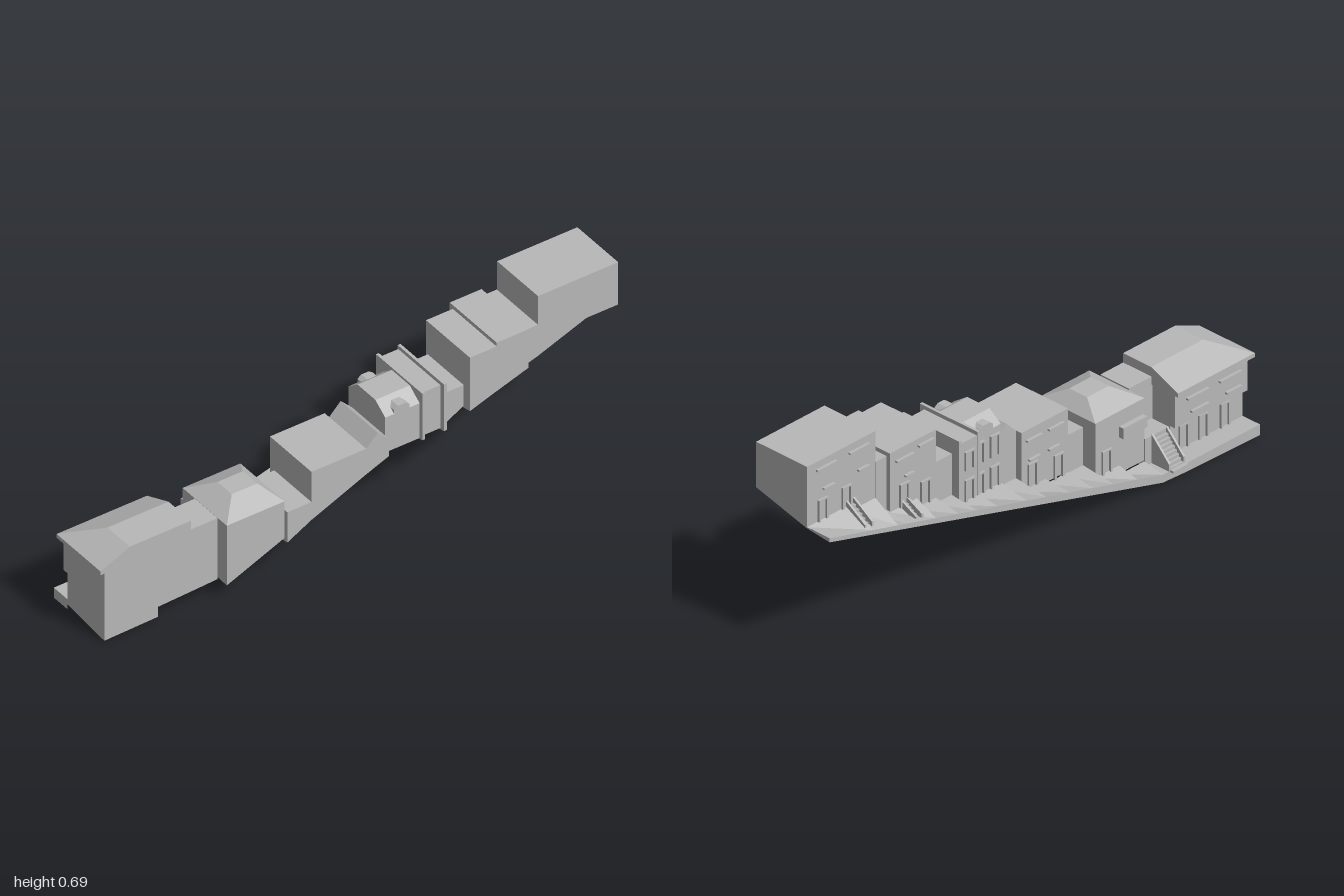
import * as THREE from 'three';

const stone = new THREE.MeshStandardMaterial({ color: 0xb8b8b8, side: THREE.DoubleSide });
stone.name = 'stone grey';

// Flat-faced mesh from convex polygons (fan triangulated)
function polys(name, faces) {
  const pos = [];
  for (const f of faces)
    for (let i = 1; i < f.length - 1; i++) pos.push(...f[0], ...f[i], ...f[i + 1]);
  const g = new THREE.BufferGeometry();
  g.setAttribute('position', new THREE.Float32BufferAttribute(pos, 3));
  g.computeVertexNormals();
  const m = new THREE.Mesh(g, stone);
  m.name = name;
  return m;
}

function box(name, x0, x1, y0, y1, z0, z1) {
  const m = new THREE.Mesh(new THREE.BoxGeometry(x1 - x0, y1 - y0, Math.abs(z1 - z0)), stone);
  m.position.set((x0 + x1) / 2, (y0 + y1) / 2, (z0 + z1) / 2);
  m.name = name;
  return m;
}

// Open-bottomed house shell: roof profile [x, y] left to right, run from z0 back to z1.
// h = foot of the street wall, b0 / b1 = foot of the rear wall at z0 / z1
function shell(name, top, z0, z1, h, b0, b1) {
  const n = top.length - 1, xl = top[0][0], xr = top[n][0];
  const F = top.map(([x, y]) => [x, y, z0]), B = top.map(([x, y]) => [x, y, z1]);
  const lf = [xl, h, z0], lb = [xl, h, z1], rf = [xr, b0, z0], rb = [xr, b1, z1];
  const faces = [
    [lf, rf, ...[...F].reverse()], [rb, lb, ...B],
    [rf, rb, B[n], F[n]], [lb, lf, F[0], B[0]],
  ];
  for (let i = 0; i < n; i++) faces.push([F[i], F[i + 1], B[i + 1], B[i]]);
  return polys(name, faces);
}
const block = (name, x0, x1, top, ...rest) => shell(name, [[x0, top], [x1, top]], ...rest);

// Hipped roof between an eave rectangle and a ridge rectangle [x0, x1, z0, z1]
function hip(name, e, r, y0, y1) {
  const ring = ([x0, x1, z0, z1], y) => [[x0, y, z0], [x1, y, z0], [x1, y, z1], [x0, y, z1]];
  const E = ring(e, y0), R = ring(r, y1), faces = [R];
  for (let i = 0; i < 4; i++) {
    const j = (i + 1) % 4;
    faces.push([E[i], E[j], R[j], R[i]]);
  }
  return polys(name, faces);
}

// Street line: underside and upper edge of the kerb
const under = z => z > 0.55 ? 0.01 * (0.985 - z) / 0.435 : 0.01 + (0.55 - z) * 0.284;
const street = z => z > 0.55 ? 0.04 : under(z) + 0.015 + 0.015 * (z + 1) / 1.55;
const EDGE = -0.167;

// Steps rising from the street to a wall, between two sloping cheek walls
function stairs(name, xa, xb, ya, yb, z0, z1, n = 6) {
  const g = new THREE.Group();
  g.name = name;
  const d = (xb - xa) / n, r = (yb - ya) / n;
  for (let i = 0; i < n; i++)
    g.add(box('step', xa + i * d, xa + (i + 1) * d, ya + i * r, ya + (i + 1) * r, z0, z1));
  for (const z of [z0, z1 + 0.008]) {
    const s = new THREE.Shape([[xa, ya], [xb, ya], [xb, yb + 0.02], [xa, ya + 0.03]]
      .map(p => new THREE.Vector2(...p)));
    const m = new THREE.Mesh(new THREE.ExtrudeGeometry(s, { depth: 0.008, bevelEnabled: false }), stone);
    m.position.z = z - 0.008;
    m.name = 'cheek wall';
    g.add(m);
  }
  return g;
}

export function createModel() {
  const model = new THREE.Group();
  const add = (...m) => model.add(...m);

  // Front house with overhanging upper floor and half-hipped roof
  add(block('frontHouse', -0.09, 0.115, 0.285, 0.985, 0.775, 0.02, 0, 0.005));
  add(block('frontHouseRear', -0.09, 0.115, 0.285, 0.775, 0.65, 0.03, 0.045, 0.05));
  add(box('upperFloor', -0.112, -0.09, 0.145, 0.275, 0.985, 0.65));
  add(box('eaves', -0.13, 0.115, 0.27, 0.285, 1, 0.645));
  add(hip('frontRoof', [-0.13, 0.115, 1, 0.645], [-0.01, 0.115, 0.885, 0.645], 0.285, 0.335));
  add(block('linkHouse', -0.012, 0.115, 0.3, 0.65, 0.54, 0.04, 0.05, 0.055));
  add(box('landing', -0.09, -0.012, 0.04, 0.145, 0.645, 0.535));
  add(stairs('landingStairs', EDGE, -0.09, 0.04, 0.13, 0.64, 0.565, 8));
  add(box('kerbStep', -0.183, EDGE, 0.04, 0.047, 0.64, 0.57));

  // Hipped house
  add(block('hippedHouse', -0.085, 0.162, 0.297, 0.537, 0.31, 0.065, 0.057, 0.15));
  add(hip('hippedRoof', [-0.085, 0.162, 0.537, 0.31], [0, 0.08, 0.46, 0.36], 0.297, 0.34));
  add(box('porch', -0.105, -0.085, 0.2, 0.24, 0.53, 0.42));

  // Middle houses
  add(block('lowHouse', -0.03, 0.177, 0.262, 0.31, 0.215, 0.11, 0.14, 0.19));
  add(block('middleHouse', -0.055, 0.177, 0.383, 0.215, 0, 0.15, 0.19, 0.28));
  add(block('gabledHouse', -0.03, 0.177, 0.383, 0, -0.09, 0.2, 0.28, 0.315));
  add(hip('gabledRoof', [-0.03, 0.177, 0, -0.09], [-0.03, 0.177, -0.045, -0.045], 0.383, 0.428));

  // Mansard house with dormers
  add(shell('mansardHouse', [[-0.05, 0.455], [0, 0.493], [0.1, 0.493], [0.155, 0.455]],
    -0.09, -0.225, 0.23, 0.315, 0.315));
  for (const [x0, x1] of [[-0.05, 0], [0.1, 0.155]]) {
    const s = new THREE.Shape([[-0.03, 0], [0.03, 0], [0.03, 0.025], [0.015, 0.036], [-0.015, 0.036], [-0.03, 0.025]]
      .map(p => new THREE.Vector2(...p)));
    const d = new THREE.Mesh(new THREE.ExtrudeGeometry(s, { depth: x1 - x0, bevelEnabled: false }), stone);
    d.rotation.y = Math.PI / 2;
    d.position.set(x0, 0.445, -0.155);
    d.name = 'dormer';
    add(d);
  }

  // Townhouse between two parapet walls
  add(block('townhouse', -0.085, 0.15, 0.488, -0.235, -0.31, 0.25, 0.315, 0.315));
  for (const z of [-0.225, -0.31])
    add(block('parapetWall', -0.088, 0.17, 0.502, z, z - 0.011, 0.25, 0.315, 0.315));
  add(block('flatHouse', -0.055, 0.145, 0.444, -0.32, -0.405, 0.28, 0.315, 0.36));

  // Upper houses
  add(block('upperHouseFront', -0.065, 0.18, 0.575, -0.405, -0.51, 0.31, 0.36, 0.395));
  add(block('upperHouse', -0.082, 0.18, 0.59, -0.51, -0.635, 0.35, 0.395, 0.435));
  add(block('upperHouseBack', -0.068, 0.162, 0.575, -0.635, -0.685, 0.37, 0.435, 0.45));
  add(block('topHouseFront', -0.066, 0.162, 0.69, -0.685, -0.875, 0.43, 0.45, 0.52));
  add(block('topHouseBack', -0.066, 0.162, 0.69, -0.875, -1, 0.46, 0.52, 0.52));

  // Terraces sloping from the facades to the street: front z, back z, facade x, level
  const plots = [
    [0.985, 0.65, -0.09, 0.04], [0.65, 0.537, -0.012, 0.045], [0.537, 0.42, -0.085, 0.06],
    [0.42, 0.31, -0.085, 0.095], [0.31, 0.215, -0.03, 0.12], [0.215, 0.11, -0.055, 0.145],
    [0.11, 0, -0.055, 0.165], [0, -0.09, -0.03, 0.205], [-0.09, -0.225, -0.05, 0.235],
    [-0.225, -0.321, -0.085, 0.265], [-0.321, -0.405, -0.055, 0.29], [-0.405, -0.51, -0.065, 0.32],
    [-0.51, -0.635, -0.082, 0.37], [-0.635, -0.685, -0.068, 0.375], [-0.685, -0.8, -0.066, 0.44],
    [-0.8, -1, -0.066, 0.465],
  ];
  let prev = 0;
  for (const [z0, z1, x, h] of plots) {
    const a = [EDGE, street(z0), z0], d = [EDGE, street(z1), z1], b = [x, h, z0], c = [x, h, z1];
    add(polys('terrace', [
      [a, b, c], [a, c, d], [a, [x, prev, z0], b],
      [[EDGE, under(z1), z1], [EDGE, under(z0), z0], a, d],
    ]));
    prev = h;
  }
  add(polys('kerbEnd', [
    [[EDGE, 0, 0.985], [-0.09, 0, 0.985], [-0.09, 0.04, 0.985], [EDGE, 0.04, 0.985]],
    [[-0.066, 0.46, -1], [EDGE, 0.45, -1], [EDGE, 0.465, -1], [-0.066, 0.465, -1]],
  ]));

  // Stairs to the upper houses
  add(stairs('topStairs', -0.15, -0.066, 0.4, 0.465, -0.78, -0.82));
  add(stairs('upperStairs', -0.15, -0.082, 0.33, 0.375, -0.55, -0.585));

  // Window ledges on the street side: wall x, height, z ranges
  const ledges = [
    [-0.112, 0.235, 0.95, 0.85], [-0.112, 0.235, 0.8, 0.7], [-0.112, 0.18, 0.95, 0.88], [-0.112, 0.18, 0.8, 0.72],
    [-0.055, 0.345, 0.19, 0.12], [-0.055, 0.345, 0.09, 0.02], [-0.055, 0.27, 0.17, 0.12], [-0.055, 0.27, 0.08, 0.03],
    [-0.065, 0.55, -0.42, -0.49], [-0.082, 0.55, -0.53, -0.61], [-0.082, 0.48, -0.53, -0.57],
    [-0.066, 0.66, -0.72, -0.81], [-0.066, 0.66, -0.87, -0.96], [-0.066, 0.58, -0.72, -0.77], [-0.066, 0.58, -0.88, -0.93],
  ];
  for (const [x, y, z0, z1] of ledges) add(box('windowLedge', x - 0.011, x, y - 0.003, y + 0.003, z0, z1));

  // Tall windows and door surrounds: wall x, foot, height, z
  const doors = [
    [-0.09, 0.04, 0.09, 0.9], [-0.09, 0.04, 0.09, 0.8], [-0.09, 0.04, 0.09, 0.71], [-0.085, 0.09, 0.09, 0.36],
    [-0.055, 0.145, 0.09, 0.17], [-0.055, 0.165, 0.09, 0.05], [-0.05, 0.235, 0.08, -0.12], [-0.05, 0.235, 0.08, -0.19],
    [-0.05, 0.35, 0.08, -0.12], [-0.05, 0.35, 0.08, -0.19], [-0.085, 0.265, 0.08, -0.272], [-0.085, 0.38, 0.07, -0.272],
    [-0.065, 0.32, 0.09, -0.455], [-0.082, 0.37, 0.085, -0.57], [-0.066, 0.465, 0.08, -0.82], [-0.066, 0.465, 0.08, -0.93],
  ];
  for (const [x, y, h, z] of doors) {
    for (const s of [-1, 1]) add(box('doorPost', x - 0.008, x, y, y + h, z + s * 0.018 + 0.004, z + s * 0.018 - 0.004));
    add(box('doorLintel', x - 0.008, x, y + h - 0.006, y + h, z + 0.022, z - 0.022));
  }
  return model;
}
